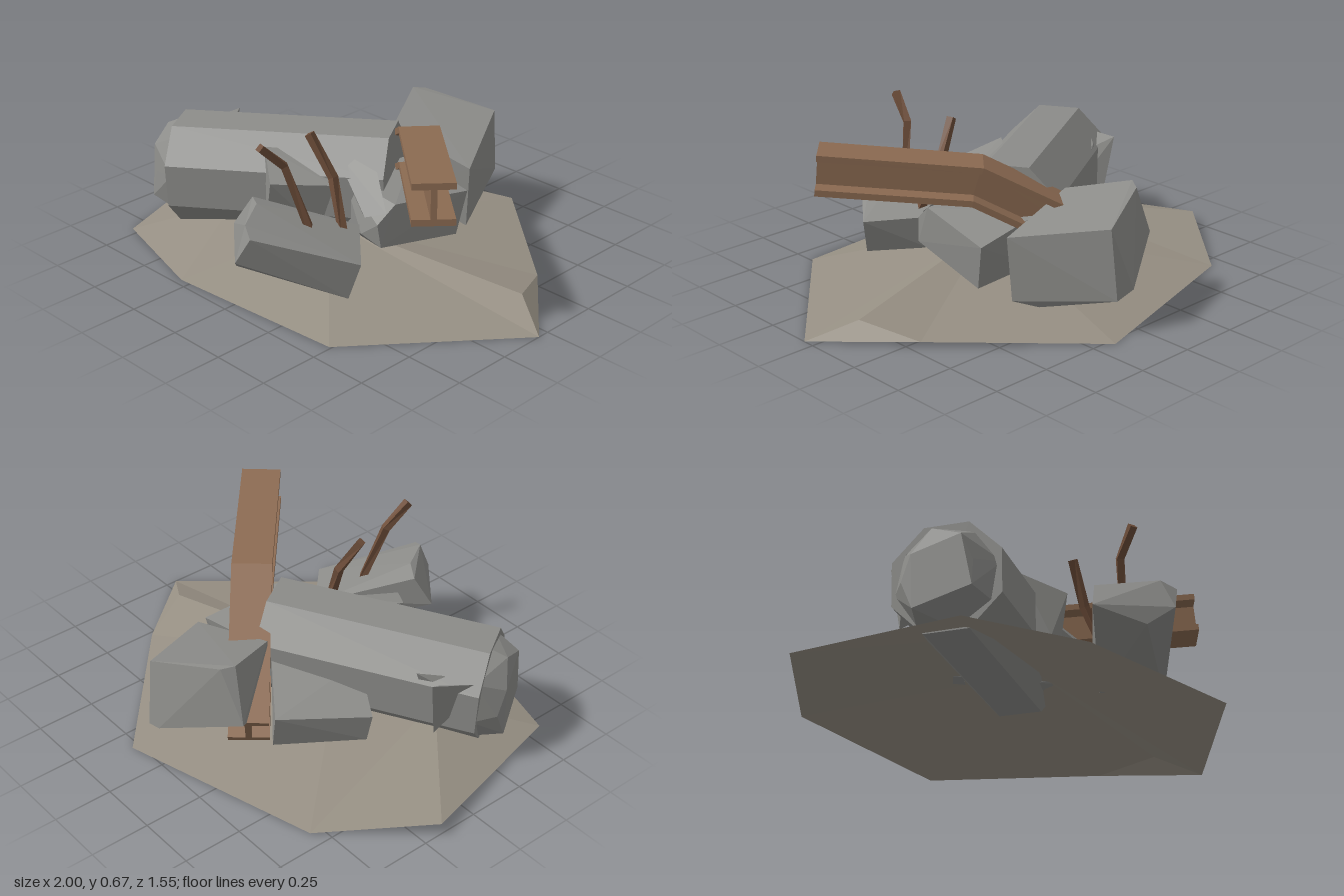
import * as THREE from 'three';
import { ConvexGeometry } from 'three/addons/geometries/ConvexGeometry.js';

const mat = (color) => new THREE.MeshStandardMaterial({ color, flatShading: true, side: THREE.DoubleSide });
const V = ([x, y, z]) => new THREE.Vector3(x, y, z);

function fromTriangles(points, index) {
  const g = new THREE.BufferGeometry();
  g.setAttribute('position', new THREE.Float32BufferAttribute(points.flat(), 3));
  g.setIndex(index);
  const flat = g.toNonIndexed();
  flat.computeVertexNormals();
  return flat;
}

// Sweeps a counter-clockwise [side, up] profile along a bent path, with caps
function sweep(profile, path) {
  const n = profile.length, p = path.map(V), pts = [], index = [];
  p.forEach((c, i) => {
    const a = p[Math.max(i - 1, 0)], b = p[Math.min(i + 1, p.length - 1)];
    const t = b.clone().sub(a).normalize();
    const side = new THREE.Vector3(0, 1, 0).cross(t).normalize();
    const up = t.clone().cross(side);
    for (const [s, u] of profile)
      pts.push(c.clone().addScaledVector(side, s).addScaledVector(up, u).toArray());
  });
  for (let i = 0; i < p.length - 1; i++)
    for (let j = 0; j < n; j++) {
      const a = i * n + j, b = i * n + (j + 1) % n;
      index.push(a, b, b + n, a, b + n, a + n);
    }
  const end = (p.length - 1) * n;
  const contour = profile.map(([x, y]) => new THREE.Vector2(x, y));
  for (const [a, b, c] of THREE.ShapeUtils.triangulateShape(contour, []))
    index.push(c, b, a, end + a, end + b, end + c);
  return fromTriangles(pts, index);
}

const polygon = (sides, r, turn) => Array.from({ length: sides }, (_, i) => {
  const a = turn + (i / sides) * Math.PI * 2;
  return [Math.cos(a) * r, Math.sin(a) * r];
});

export function createModel() {
  const group = new THREE.Group();
  const concrete = mat(0x8c8c89), dirt = mat(0x968f83);
  const rust = mat(0x8c6b52), bar = mat(0x6e4e3a);
  const add = (name, geometry, material) => {
    const m = new THREE.Mesh(geometry, material);
    m.name = name;
    group.add(m);
  };
  const chunk = (name, pts) => add(name, new ConvexGeometry(pts.map(V)), concrete);

  // Low open mound: the rim fans to a main peak (0) and a left peak (10)
  const mound = [
    [-0.05, 0.15, 0.14],
    [-1, 0.05, -0.17], [-0.68, 0, -0.55], [0.16, 0, -0.78], [0.71, 0.02, -0.29],
    [0.82, 0.07, -0.06], [1, 0, 0.05], [0.49, 0, 0.66], [-0.3, 0, 0.72], [-0.79, 0, 0.58],
    [-0.5, 0.115, 0.26],
  ];
  const faces = [4, 5, 6, 0, 10, 8, 0, 2, 10];
  for (let i = 1; i <= 9; i++) faces.push([8, 9, 1].includes(i) ? 10 : 0, i % 9 + 1, i);
  add('dirtMound', fromTriangles(mound, faces), dirt);

  // Fallen eight-sided column
  const foot = V([-0.69, 0.265, 0.37]), head = V([0.09, 0.305, -0.11]);
  add('fallenColumn', sweep(polygon(8, 0.233, Math.PI / 8), [foot.toArray(), head.toArray()]), concrete);

  // Broken stump on the column's near end
  const axis = foot.clone().sub(head).normalize();
  const across = new THREE.Vector3(0, 1, 0).cross(axis).normalize();
  const stump = [];
  polygon(8, 1, 0.2).forEach(([s, u], i) => {
    for (const [r, d] of [[0.215, -0.02], [0.13 + 0.025 * (i % 3), 0.07 + 0.02 * (i % 2)]])
      stump.push(foot.clone().addScaledVector(axis, d).addScaledVector(across, s * r)
        .add(new THREE.Vector3(0, u * r, 0)));
  });
  add('columnBrokenEnd', new ConvexGeometry(stump), concrete);

  // Broken blocks
  chunk('frontBlock', [
    [-0.08, 0.38, 0.52], [0.0, 0.395, 0.57], [0.09, 0.385, 0.71], [0.1, 0.25, 0.775],
    [0.15, 0.355, 0.74], [0.41, 0.22, 0.41], [0.2, 0.245, 0.21],
    [-0.14, 0.26, 0.57], [0.02, 0.18, 0.7], [0.37, 0.07, 0.44], [0.2, 0.095, 0.25],
  ]);
  chunk('rearBlock', [
    [-0.2, 0.5, -0.52], [-0.17, 0.49, -0.57], [0.11, 0.43, -0.7], [0.3, 0.34, -0.33],
    [-0.08, 0.43, -0.27], [-0.28, 0.27, -0.55], [0.02, 0.17, -0.74], [0.1, 0.14, -0.73],
    [0.28, 0.07, -0.34], [0.22, 0.055, -0.43], [-0.09, 0.14, -0.28], [-0.2, 0.2, -0.5],
  ]);
  chunk('middleBlock', [
    [0.36, 0.29, -0.25], [0.31, 0.34, 0.12], [0.29, 0.27, 0.2], [0.05, 0.35, -0.25],
    [0.0, 0.36, 0.1], [0.34, 0.1, -0.21], [0.3, 0.17, 0.19], [0.2, 0.2, 0.2],
    [0.05, 0.12, -0.22], [0, 0.13, 0.1],
  ]);
  chunk('backSlab', [
    [-0.51, 0.22, -0.09], [-0.3, 0.24, -0.41], [-0.08, 0.33, -0.25], [-0.3, 0.32, 0.02],
    [-0.49, 0.1, -0.1], [-0.27, 0.09, -0.4], [-0.08, 0.12, -0.22], [-0.3, 0.1, 0],
  ]);
  chunk('sideChunk', [
    [-0.26, 0.46, 0.29], [-0.14, 0.43, 0.12], [0.05, 0.36, 0.2], [-0.11, 0.38, 0.4],
    [-0.17, 0.19, 0.37], [-0.24, 0.22, 0.3], [-0.01, 0.15, 0.23], [-0.12, 0.18, 0.12],
  ]);

  // Thin shards: around the column and beside the middle block
  const shards = [
    [[-0.7, 0.42, 0.04], [-0.66, 0.36, 0.13], [-0.78, 0.38, 0.24], [-0.68, 0.16, 0.08], [-0.62, 0.2, 0.16]],
    [[-0.59, 0.41, 0.06], [-0.66, 0.4, 0.14], [-0.75, 0.3, 0.2], [-0.6, 0.16, 0.14]],
    [[-0.05, 0.47, 0.11], [0.17, 0.42, 0.08], [0.22, 0.28, 0.2], [0.3, 0.31, 0.16], [0.05, 0.25, 0.08]],
  ];
  shards.forEach((s, i) => chunk('shard' + (i + 1), s));

  // Bent steel I-beam
  const w = 0.083, h = 0.084, f = 0.058, t = 0.012;
  const iProfile = [
    [-w, -h], [w, -h], [w, -f], [t, -f], [t, f], [w, f],
    [w, h], [-w, h], [-w, f], [-t, f], [-t, -f], [-w, -f],
  ];
  add('bentBeam', sweep(iProfile, [[0.7, 0.55, 0.325], [0.235, 0.495, -0.095], [-0.23, 0.18, -0.49]]), rust);

  // Bent reinforcing bars
  const rods = [
    [[0.17, 0.25, 0.43], [0.085, 0.56, 0.5], [0.06, 0.66, 0.6]],
    [[0.2, 0.24, 0.3], [0.11, 0.44, 0.265], [0.015, 0.61, 0.3]],
  ];
  rods.forEach((path, i) => add('reinforcingBar' + (i + 1), sweep(polygon(4, 0.021, Math.PI / 4), path), bar));

  return group;
}
